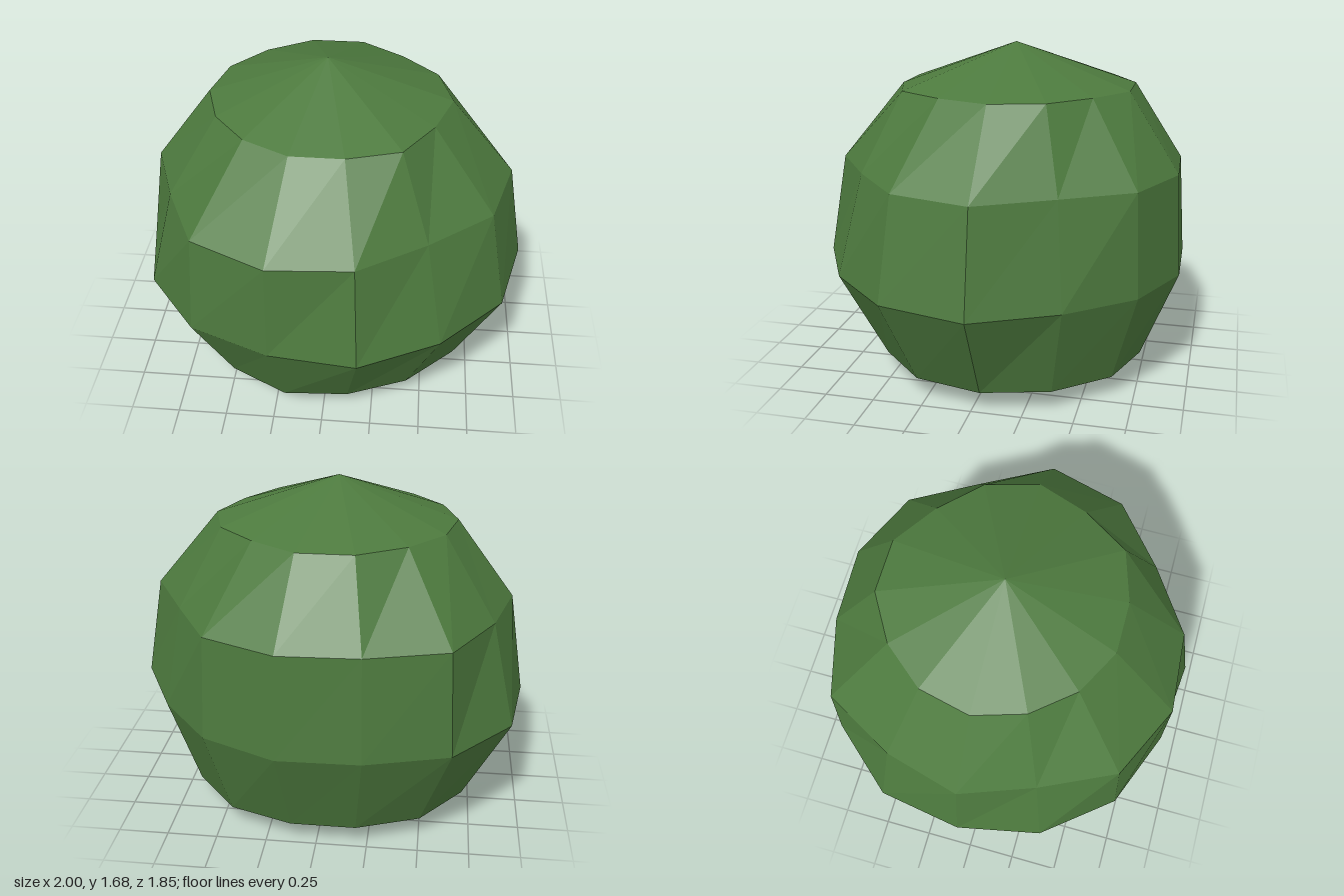
import * as THREE from 'three';

const SIDES = 14;
const CENTRE_X = -0.035;
const CENTRE_Z = -0.045;

// Uneven radii round each ring, starting at +x and turning towards +z
const RINGS = [
  { y: 0.105, r: [0.785, 0.785, 0.74, 0.72, 0.74, 0.73, 0.77, 0.75, 0.75, 0.75, 0.72, 0.72, 0.76, 0.77] },
  { y: 0.57, r: [1.035, 1.026, 0.982, 0.99, 0.945, 0.975, 0.975, 0.965, 0.995, 0.975, 0.9, 0.908, 0.918, 0.925] },
  { y: 1.085, r: [0.945, 0.927, 0.843, 0.9, 0.93, 0.93, 0.835, 0.885, 0.87, 0.94, 0.865, 0.88, 0.89, 0.83] },
  { y: 1.475, r: [0.62, 0.59, 0.62, 0.58, 0.58, 0.57, 0.575, 0.595, 0.595, 0.59, 0.615, 0.615, 0.575, 0.605] },
];

function ringPoint(ring, k) {
  const i = k % SIDES;
  const a = (i / SIDES) * Math.PI * 2;
  return [CENTRE_X + ring.r[i] * Math.cos(a), ring.y, CENTRE_Z + ring.r[i] * Math.sin(a)];
}

function foliageGeometry() {
  const positions = [];
  const triangle = (a, b, c) => positions.push(...a, ...b, ...c);
  const bottom = [CENTRE_X, 0, CENTRE_Z];
  const top = [CENTRE_X, 1.685, CENTRE_Z];
  const lowest = RINGS[0];
  const highest = RINGS[RINGS.length - 1];

  for (let k = 0; k < SIDES; k++) {
    // Shallow underside and pointed crown
    triangle(bottom, ringPoint(lowest, k), ringPoint(lowest, k + 1));
    triangle(top, ringPoint(highest, k + 1), ringPoint(highest, k));
    // Faceted bands between the rings
    for (let j = 0; j < RINGS.length - 1; j++) {
      const a = ringPoint(RINGS[j], k);
      const b = ringPoint(RINGS[j], k + 1);
      const c = ringPoint(RINGS[j + 1], k);
      const d = ringPoint(RINGS[j + 1], k + 1);
      triangle(b, a, c);
      triangle(b, c, d);
    }
  }

  const geometry = new THREE.BufferGeometry();
  geometry.setAttribute('position', new THREE.Float32BufferAttribute(positions, 3));
  geometry.computeVertexNormals();
  return geometry;
}

export function createModel() {
  const leafGreen = new THREE.MeshStandardMaterial({ color: 0x4d7a3e });
  leafGreen.name = 'leaf green';
  leafGreen.flatShading = true;

  const foliage = new THREE.Mesh(foliageGeometry(), leafGreen);
  foliage.name = 'foliage';

  const bush = new THREE.Group();
  bush.name = 'bush';
  bush.add(foliage);
  return bush;
}
